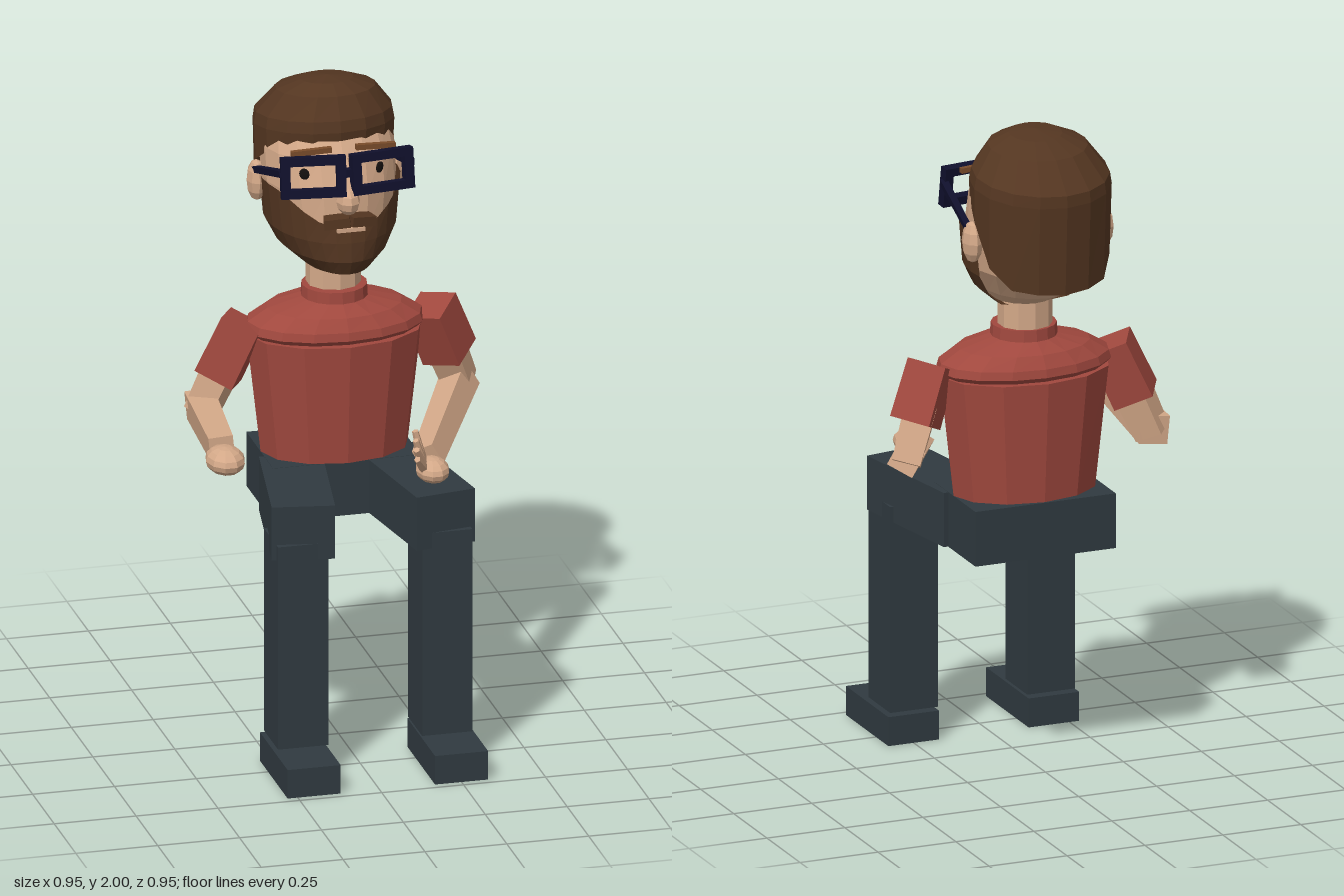
import * as THREE from 'three';

const mat = (name, color, side = THREE.FrontSide) => {
  const m = new THREE.MeshStandardMaterial({ color, side });
  m.name = name;
  return m;
};

const CX = 0.025; // body centre line
const V = (x, y, z) => new THREE.Vector3(x, y, z);

// Faceted normals
const flat = (g) => {
  const f = g.index ? g.toNonIndexed() : g;
  f.computeVertexNormals();
  return f;
};

// Grid surface: rows run bottom to top, columns run around from the front towards +x
function surface(rows, cols, fn) {
  const pos = [], idx = [];
  for (let i = 0; i <= rows; i++)
    for (let j = 0; j <= cols; j++) pos.push(...fn(i, j / cols));
  for (let i = 0; i < rows; i++)
    for (let j = 0; j < cols; j++) {
      const a = i * (cols + 1) + j, b = a + cols + 1;
      idx.push(a, a + 1, b + 1, a, b + 1, b);
    }
  const g = new THREE.BufferGeometry();
  g.setAttribute('position', new THREE.Float32BufferAttribute(pos, 3));
  g.setIndex(idx);
  return flat(g);
}

// Closed loft through elliptical rings [y, centre z, x radius, z radius]
const loft = (rings, n) => surface(rings.length - 1, n, (i, t) => {
  const [y, zc, rx, rz] = rings[i], a = t * Math.PI * 2;
  return [CX + Math.sin(a) * rx, y, zc + Math.cos(a) * rz];
});

export function createModel() {
  const model = new THREE.Group();
  const skin = mat('skin', 0xd3a888);
  const shirt = mat('shirt red', 0xa0483e);
  const denim = mat('dark trousers', 0x303a40);
  const hairMat = mat('brown hair', 0x543621, THREE.DoubleSide);
  const browMat = mat('light brown brow', 0x7a4c2a);
  const navy = mat('navy frame', 0x10102c);
  const black = mat('eye black', 0x15110f);

  const add = (name, g, m, parent = model) => {
    const mesh = new THREE.Mesh(g, m);
    mesh.name = name;
    parent.add(mesh);
    return mesh;
  };
  const box = (name, m, w, h, d, x, y, z, parent) => {
    const mesh = add(name, new THREE.BoxGeometry(w, h, d), m, parent);
    mesh.position.set(x, y, z);
    return mesh;
  };
  const ball = (name, m, rx, ry, rz, x, y, z, ws = 10, hs = 8) => {
    const g = new THREE.SphereGeometry(1, ws, hs).scale(rx, ry, rz);
    const mesh = add(name, flat(g), m);
    mesh.position.set(x, y, z);
    return mesh;
  };
  // Tapered limb between two points
  const limb = (name, m, a, b, ra, rb, sides = 4) => {
    const d = b.clone().sub(a);
    const g = new THREE.CylinderGeometry(rb, ra, d.length(), sides).rotateY(Math.PI / sides);
    const mesh = add(name, flat(g), m);
    mesh.position.copy(a).addScaledVector(d, 0.5);
    mesh.quaternion.setFromUnitVectors(V(0, 1, 0), d.normalize());
    return mesh;
  };

  // Pelvis, thighs, shins and shoes
  box('pelvis', denim, 0.45, 0.17, 0.31, CX, 0.775, -0.155);
  for (const s of [-1, 1]) {
    const t = 0.168 * s;
    const thigh = box('thigh', denim, 0.188, 0.168, 0.42,
      CX + s * 0.2175 - Math.sin(t) * 0.21, 0.775, 0.3225 - Math.cos(t) * 0.21);
    thigh.rotation.y = t;
    box('shin', denim, 0.153, 0.64, 0.165, CX + s * 0.22, 0.42, 0.2475);
    box('shoe', denim, 0.162, 0.09, 0.32, CX + s * 0.225, 0.046, 0.316);
  }

  // Shirt: body, shoulder yoke and collar
  const zt = -0.145;
  add('shirtBody', loft([[0.86, zt, 0, 0], [0.86, zt, 0.225, 0.16],
    [1.235, zt, 0.268, 0.188], [1.235, zt, 0, 0]], 12), shirt);
  add('shirtYoke', loft([[1.22, zt, 0.24, 0.15], [1.25, zt, 0.273, 0.175], [1.275, zt, 0.265, 0.17],
    [1.312, zt, 0.205, 0.145], [1.34, zt, 0.1, 0.1], [1.375, zt, 0.098, 0.097], [1.375, zt, 0, 0]], 16), shirt);
  add('neck', loft([[1.3, -0.155, 0.082, 0.08], [1.56, -0.155, 0.082, 0.08]], 10), skin);

  // Right arm, reaching forward
  limb('rightSleeve', shirt, V(-0.25, 1.275, -0.145), V(-0.325, 1.105, -0.165), 0.085, 0.088);
  limb('rightUpperArm', skin, V(-0.30, 1.16, -0.16), V(-0.37, 0.99, -0.185), 0.068, 0.06);
  limb('rightForearm', skin, V(-0.367, 1.005, -0.21), V(-0.404, 1.01, 0.18), 0.062, 0.052);
  ball('rightHand', skin, 0.059, 0.042, 0.078, -0.411, 1.0, 0.246);

  // Left arm, folded inwards
  limb('leftSleeve', shirt, V(0.315, 1.275, -0.135), V(0.382, 1.11, -0.165), 0.085, 0.088);
  limb('leftUpperArm', skin, V(0.36, 1.16, -0.16), V(0.425, 1.0, -0.2), 0.068, 0.06);
  limb('leftForearm', skin, V(0.425, 1.015, -0.2), V(0.225, 0.92, 0.18), 0.06, 0.05);
  ball('leftHand', skin, 0.05, 0.038, 0.068, 0.222, 0.907, 0.245);
  for (let i = 0; i < 4; i++)
    limb('leftFinger', skin, V(0.2 - i * 0.003, 0.92, 0.23 + i * 0.012),
      V(0.172 - i * 0.006, 1.03 - i * 0.018, 0.235 + i * 0.031), 0.016, 0.01, 5);

  // Head
  add('head', loft([[1.44, -0.12, 0, 0], [1.45, -0.12, 0.085, 0.1], [1.5, -0.16, 0.135, 0.165],
    [1.58, -0.195, 0.18, 0.205], [1.7, -0.215, 0.2, 0.218], [1.8, -0.235, 0.2, 0.2],
    [1.88, -0.26, 0.185, 0.17], [1.92, -0.26, 0, 0]], 18), skin);
  for (const s of [-1, 1]) ball('ear', skin, 0.03, 0.064, 0.042, CX + s * 0.21, 1.68, -0.25, 8, 6);
  ball('nose', skin, 0.036, 0.042, 0.045, CX, 1.69, 0.015, 8, 6);
  limb('noseBridge', skin, V(CX, 1.69, 0.02), V(CX, 1.8, -0.045), 0.03, 0.02, 6);

  // Hair cap with a hairline that drops behind the ears
  const hairline = [1.83, 1.83, 1.82, 1.79, 1.74, 1.62, 1.565, 1.555, 1.55];
  const hair = [[0, -0.265, 0.208, 0.195], [1.85, -0.27, 0.212, 0.205], [1.885, -0.272, 0.206, 0.2],
    [1.96, -0.25, 0.15, 0.14], [1.99, -0.235, 0.08, 0.075], [2.0, -0.23, 0, 0]];
  add('hair', surface(hair.length - 1, 16, (i, t) => {
    const [y, zc, rx, rz] = hair[i], a = t * Math.PI * 2;
    const tilt = i === 0 || i === 5 ? 0 : 0.06 * Math.cos(a) * (rz / 0.2) * (i > 2 ? 0.3 : 0.4);
    const j = Math.round(t * 16);
    return [CX + Math.sin(a) * rx, i === 0 ? hairline[Math.min(j, 16 - j)] : y + tilt, zc + Math.cos(a) * rz];
  }), hairMat);

  // Beard shell, wrapping the jaw from ear to ear
  const beard = [[1.435, -0.1, 0, 0], [1.44, -0.15, 0.05, 0.12], [1.465, -0.18, 0.11, 0.215],
    [1.51, -0.2, 0.162, 0.258], [1.57, -0.2, 0.193, 0.255], [1.62, -0.2, 0.207, 0.245]];
  add('beard', surface(5, 16, (i, t) => {
    const [y, zc, rx, rz] = beard[i], a = (t - 0.5) * Math.PI * 1.14;
    const rise = i === 5 ? 0.085 * THREE.MathUtils.smoothstep(Math.abs(a), 0.2, 1.2) : 0;
    return [CX + Math.sin(a) * rx, y + rise, zc + Math.cos(a) * rz];
  }), hairMat);
  box('lip', skin, 0.085, 0.012, 0.02, CX, 1.612, 0.045);
  for (const s of [-1, 1]) {
    const m = box('moustacheHalf', hairMat, 0.078, 0.03, 0.05, CX + s * 0.036, 1.632, 0.025);
    m.rotation.set(0, s * 0.25, -s * 0.12);
  }

  // Eyes, brows and spectacles
  for (const s of [-1, 1]) {
    const eye = ball('pupil', black, 0.016, 0.018, 0.005, CX + s * 0.115, 1.76, -0.055, 8, 6);
    eye.rotation.y = s * 0.55;
    const brow = box('eyebrow', browMat, 0.122, 0.016, 0.016, CX + s * 0.098, 1.835, -0.04);
    brow.rotation.set(0, s * 0.06, -s * 0.05);

    const rim = new THREE.Shape();
    rim.moveTo(-0.097, -0.062).lineTo(0.097, -0.062).lineTo(0.097, 0.062).lineTo(-0.097, 0.062);
    const hole = new THREE.Path();
    hole.moveTo(-0.069, -0.036).lineTo(-0.069, 0.036).lineTo(0.069, 0.036).lineTo(0.069, -0.036);
    rim.holes.push(hole);
    const frame = add('spectacleRim', new THREE.ExtrudeGeometry(rim, { depth: 0.03, bevelEnabled: false }), navy);
    frame.position.set(CX + s * 0.103, 1.772, -0.005);
    frame.rotation.set(-0.14, s * 0.13, 0, 'YXZ');
    limb('spectacleArm', navy, V(CX + s * 0.196, 1.79, 0.0), V(CX + s * 0.218, 1.715, -0.25), 0.015, 0.013);
  }
  box('spectacleBridge', navy, 0.04, 0.025, 0.02, CX, 1.78, 0.015);

  return model;
}
